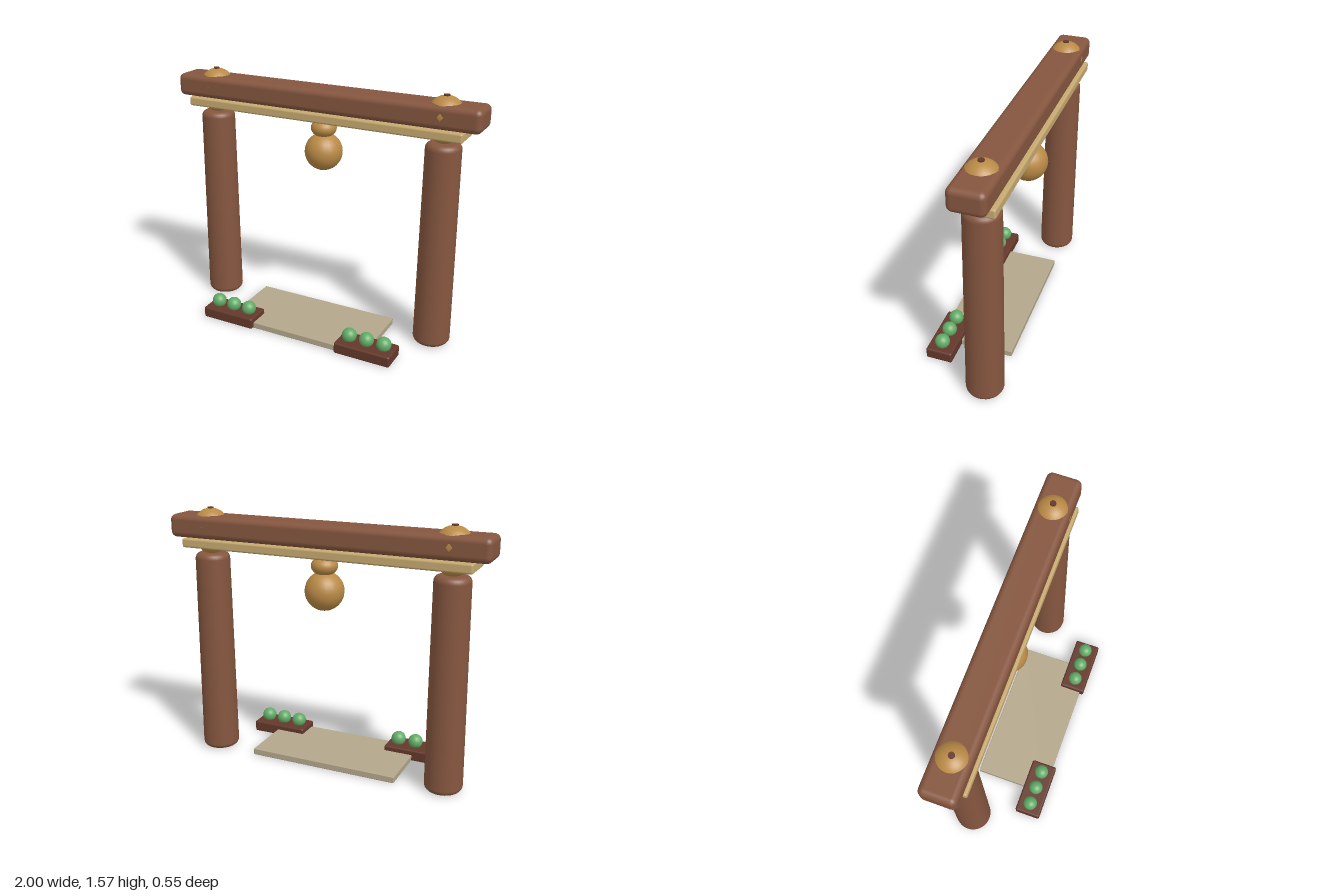
import * as THREE from 'three';
import { RoundedBoxGeometry } from 'three/addons/geometries/RoundedBoxGeometry.js';

const mat = (color) => new THREE.MeshStandardMaterial({ color });

export function createModel() {
  const model = new THREE.Group();
  model.name = 'gateway';
  const wood = mat(0x85563f), darkWood = mat(0x63382a), pale = mat(0xc6a970);
  const stone = mat(0xb3a78b), gold = mat(0xb98a45), green = mat(0x62ab66);

  const add = (name, geometry, material, x, y, z) => {
    const mesh = new THREE.Mesh(geometry, material);
    mesh.name = name;
    mesh.position.set(x, y, z);
    model.add(mesh);
    return mesh;
  };
  // Box given by its lower and upper limits, with softened edges
  const block = (name, material, [x0, x1], [y0, y1], [z0, z1], radius) =>
    add(name, new RoundedBoxGeometry(x1 - x0, y1 - y0, z1 - z0, 3, radius), material,
      (x0 + x1) / 2, (y0 + y1) / 2, (z0 + z1) / 2);
  const ball = (name, material, r, ry, x, y, z) => {
    const mesh = add(name, new THREE.SphereGeometry(r, 24, 16), material, x, y, z);
    mesh.scale.y = ry / r;
    return mesh;
  };

  const Z = -0.155;

  // Crossbeam and the plank beneath it
  block('crossbeam', wood, [-1, 1], [1.388, 1.528], [Z - 0.106, Z + 0.106], 0.035);
  block('lintelPlank', pale, [-0.908, 0.904], [1.333, 1.39], [Z - 0.12, Z + 0.12], 0.012);

  // Tapered post profile with rounded ends
  const profile = [new THREE.Vector2(0, 0)];
  const bottomR = 0.115, topR = 0.106, height = 1.295, round = 0.035;
  for (let i = 0; i <= 5; i++) {
    const a = (i / 5) * Math.PI / 2;
    profile.push(new THREE.Vector2(bottomR - round + round * Math.sin(a), round - round * Math.cos(a)));
  }
  for (let i = 0; i <= 5; i++) {
    const a = (i / 5) * Math.PI / 2;
    profile.push(new THREE.Vector2(topR - round + round * Math.cos(a), height - round + round * Math.sin(a)));
  }
  profile.push(new THREE.Vector2(0, height));
  const postGeometry = new THREE.LatheGeometry(profile, 32);

  // Posts with gilded bearings, domes and pegs
  for (const [x, shift] of [[-0.769, -0.001], [0.765, 0.001]]) {
    add('post', postGeometry, wood, x, 0, Z + 0.002);
    ball('postBearing', gold, 0.081, 0.056, x, 1.345, Z);
    ball('postDome', gold, 0.1075, 0.103, x, 1.464, Z + shift);
    add('domePeg', new THREE.CylinderGeometry(0.018, 0.018, 0.05, 16), darkWood, x, 1.548, Z + 0.002);
  }

  // Hanging gourd
  ball('gourdNeck', gold, 0.08, 0.058, 0, 1.277, Z);
  ball('gourdBody', gold, 0.118, 0.118, 0, 1.127, Z);

  // Threshold slab
  block('thresholdSlab', stone, [-0.48, 0.48], [0, 0.04], [-0.22, 0.25], 0.004);

  // Planters with three round shrubs each
  for (const x of [-0.477, 0.473]) {
    block('planter', darkWood, [x - 0.183, x + 0.183], [0, 0.072], [0.108, 0.276], 0.012);
    for (const offset of [-0.114, 0, 0.114]) ball('shrub', green, 0.046, 0.046, x + offset, 0.101, 0.192);
  }
  return model;
}
